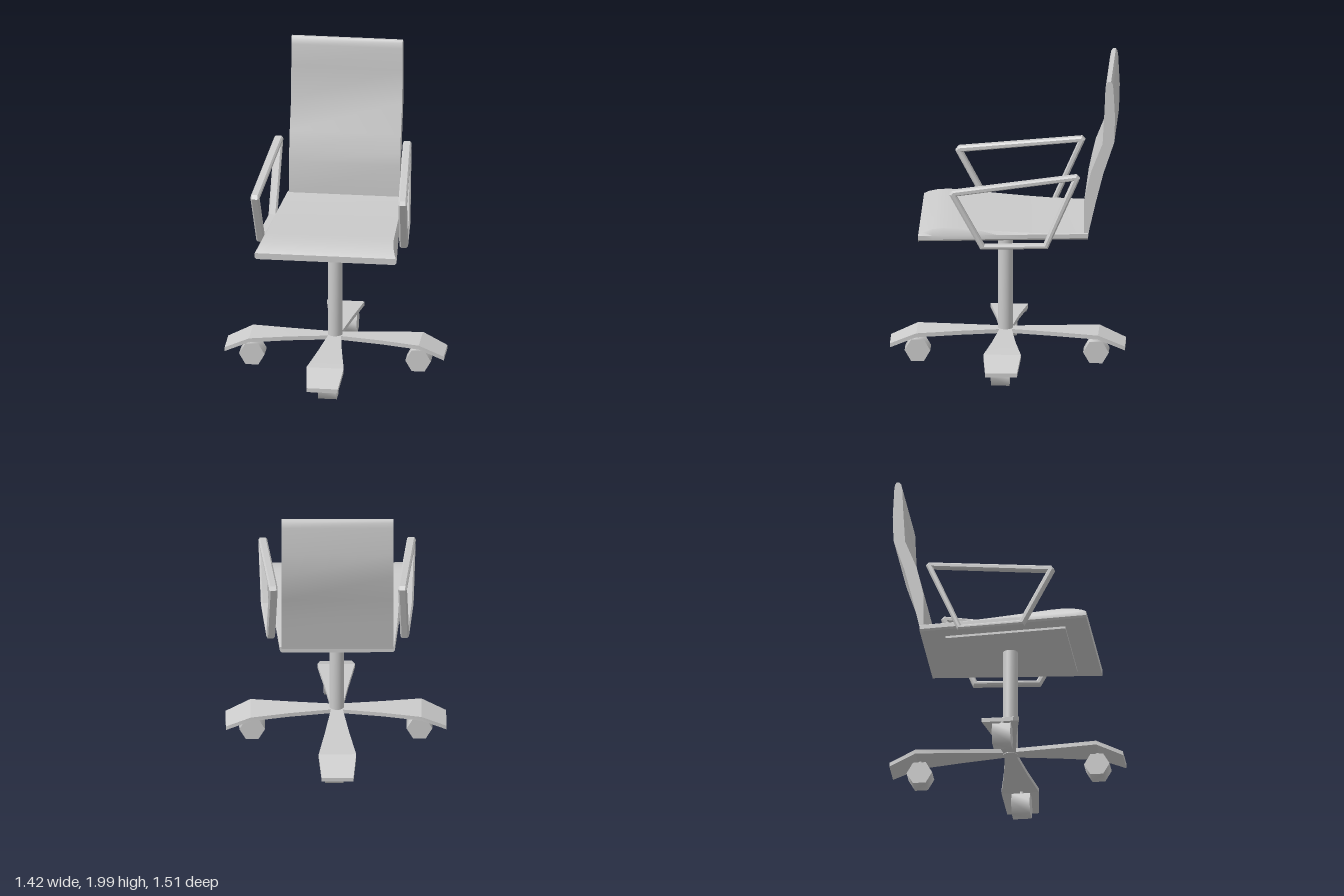
import * as THREE from 'three';
import { toCreasedNormals } from 'three/addons/utils/BufferGeometryUtils.js';

const grey = new THREE.MeshStandardMaterial({ color: 0xcccccc });

function part(name, geometry, crease = 0.55) {
  const mesh = new THREE.Mesh(toCreasedNormals(geometry, crease), grey);
  mesh.name = name;
  return mesh;
}

// Solid skin over rings of [x, y]; stations run towards +z, rings counter-clockwise.
function loft(stations) {
  const n = stations[0].ring.length, last = (stations.length - 1) * n;
  const positions = [], index = [];
  for (const { z, ring } of stations) for (const [x, y] of ring) positions.push(x, y, z);
  for (let a = 0; a < last; a += n) {
    for (let j = 0; j < n; j++) {
      const k = (j + 1) % n;
      index.push(a + j, a + k, a + n + k, a + j, a + n + k, a + n + j);
    }
  }
  for (let j = 1; j < n - 1; j++) index.push(0, j + 1, j, last, last + j, last + j + 1);
  const geometry = new THREE.BufferGeometry();
  geometry.setAttribute('position', new THREE.Float32BufferAttribute(positions, 3));
  geometry.setIndex(index);
  return geometry;
}

// Side profile of [z, y] points, extruded across x and centred on it.
function sideExtrude(outline, width, hole, bevel = 0) {
  const toPoints = list => list.map(([z, y]) => new THREE.Vector2(z, y));
  const shape = new THREE.Shape(toPoints(outline));
  if (hole) shape.holes.push(new THREE.Path(toPoints(hole)));
  const geometry = new THREE.ExtrudeGeometry(shape, {
    depth: width - 2 * bevel, bevelEnabled: bevel > 0, bevelSize: bevel,
    bevelThickness: bevel, bevelOffset: -bevel, bevelSegments: 1,
  });
  return geometry.translate(0, 0, bevel - width / 2).rotateY(-Math.PI / 2);
}

export function createModel() {
  const chair = new THREE.Group();
  chair.name = 'officeChair';

  // Seat: tapered towards the back, with a swelling, rolled front edge
  const seatTop = [[-0.53, 0.978], [-0.25, 0.98], [-0.1, 0.987], [0.05, 0.997], [0.2, 1.008],
    [0.32, 1.017], [0.4, 1.019], [0.47, 1.012], [0.53, 0.994], [0.56, 0.976]];
  const seat = part('seat', loft(seatTop.map(([z, top]) => {
    const w = 0.37 + 0.09 * (z + 0.53) / 1.09;
    const inset = 0.004 + 0.5 * (top - 0.975);
    return { z, ring: [[-w + 0.012, 0.935], [w - 0.012, 0.935], [w, 0.947], [w, 0.974],
      [w - inset, top], [-w + inset, top], [-w, 0.974], [-w, 0.947]] };
  })));
  seat.position.x = -0.005;
  chair.add(seat);

  // Plate under the seat
  const plateRing = w => [[-w, 0.92], [w, 0.92], [w, 0.937], [-w, 0.937]];
  chair.add(part('seatPlate', loft([
    { z: -0.375, ring: plateRing(0.275) }, { z: 0.41, ring: plateRing(0.335) }])));

  // Backrest: bent padded panel with a rounded top
  const back = part('backrest', sideExtrude([
    [-0.53, 0.96], [-0.505, 0.96], [-0.505, 1.19], [-0.522, 1.27], [-0.55, 1.39], [-0.625, 1.58],
    [-0.637, 1.8], [-0.643, 1.95], [-0.65, 1.985], [-0.661, 2], [-0.68, 2], [-0.69, 1.985],
    [-0.695, 1.95], [-0.705, 1.76], [-0.7, 1.59], [-0.63, 1.38], [-0.58, 1.18]], 0.72));
  back.position.x = -0.005;
  chair.add(back);

  // Armrests: bevelled four-sided loops, toed in towards the back
  const armOuter = [[0.158, 0.893], [0.36, 1.265], [0.342, 1.29], [-0.462, 1.386],
    [-0.482, 1.365], [-0.275, 0.893]];
  const armInner = [[0.133, 0.923], [0.313, 1.255], [-0.434, 1.348], [-0.25, 0.923]];
  for (const [name, side, x] of [['leftArmrest', 1, 0.443], ['rightArmrest', -1, -0.461]]) {
    const arm = part(name, sideExtrude(armOuter, 0.056, armInner, 0.01));
    arm.position.x = x;
    arm.rotation.y = side * 0.078;
    chair.add(arm);
  }

  // Column
  const column = part('column', new THREE.CylinderGeometry(0.048, 0.048, 0.74, 20), 0.8);
  column.position.set(-0.005, 0.56, 0.016);
  chair.add(column);

  // Star base: four paddle-shaped legs with drooping tips, each over a caster
  const legs = [
    { name: 'frontLeg', turn: 0, bend: 0.585, tip: 0.757, x: -0.005, z: 0, wheel: [0.015, 0.58] },
    { name: 'leftLeg', turn: 1, bend: 0.55, tip: 0.71, x: 0, z: 0.014, wheel: [0.54, 0.025] },
    { name: 'backLeg', turn: 2, bend: 0.585, tip: 0.757, x: -0.005, z: 0, wheel: [0.015, -0.57] },
    { name: 'rightLeg', turn: 3, bend: 0.55, tip: 0.71, x: 0, z: 0.014, wheel: [-0.537, 0.025] },
  ];
  const wheelGeometry = new THREE.CylinderGeometry(0.083, 0.083, 0.12, 6).rotateZ(Math.PI / 2);
  const p = wheelGeometry.attributes.position;
  // Lengthen the upright sides of the six-sided wheel
  for (let i = 0; i < p.count; i++) {
    const y = p.getY(i);
    if (Math.abs(y) > 0.01 && Math.abs(y) < 0.06) p.setY(i, Math.sign(y) * 0.063);
  }
  for (const { name, turn, bend, tip, x, z, wheel } of legs) {
    const section = (at, w, top) => ({ z: at,
      ring: [[-w, top - 0.027], [w, top - 0.027], [w, top], [-w, top]] });
    const leg = part(name, loft([section(0, 0.035, 0.222), section(0.3, 0.076, 0.217),
      section(bend, 0.121, 0.21), section(tip, 0.102, 0.134)]), 0.3);
    leg.rotation.y = turn * Math.PI / 2;
    leg.position.set(x, 0, z);
    chair.add(leg);

    const caster = part(name + 'Caster', wheelGeometry, 1.25);
    caster.rotation.y = turn * Math.PI / 2;
    caster.position.set(wheel[0], 0.083, wheel[1]);
    chair.add(caster);

    // Short pin joining caster and leg
    const pin = part(name + 'CasterPin', new THREE.CylinderGeometry(0.012, 0.012, 0.08, 8), 0.9);
    pin.position.set(wheel[0], 0.16, wheel[1]);
    chair.add(pin);
  }
  return chair;
}
